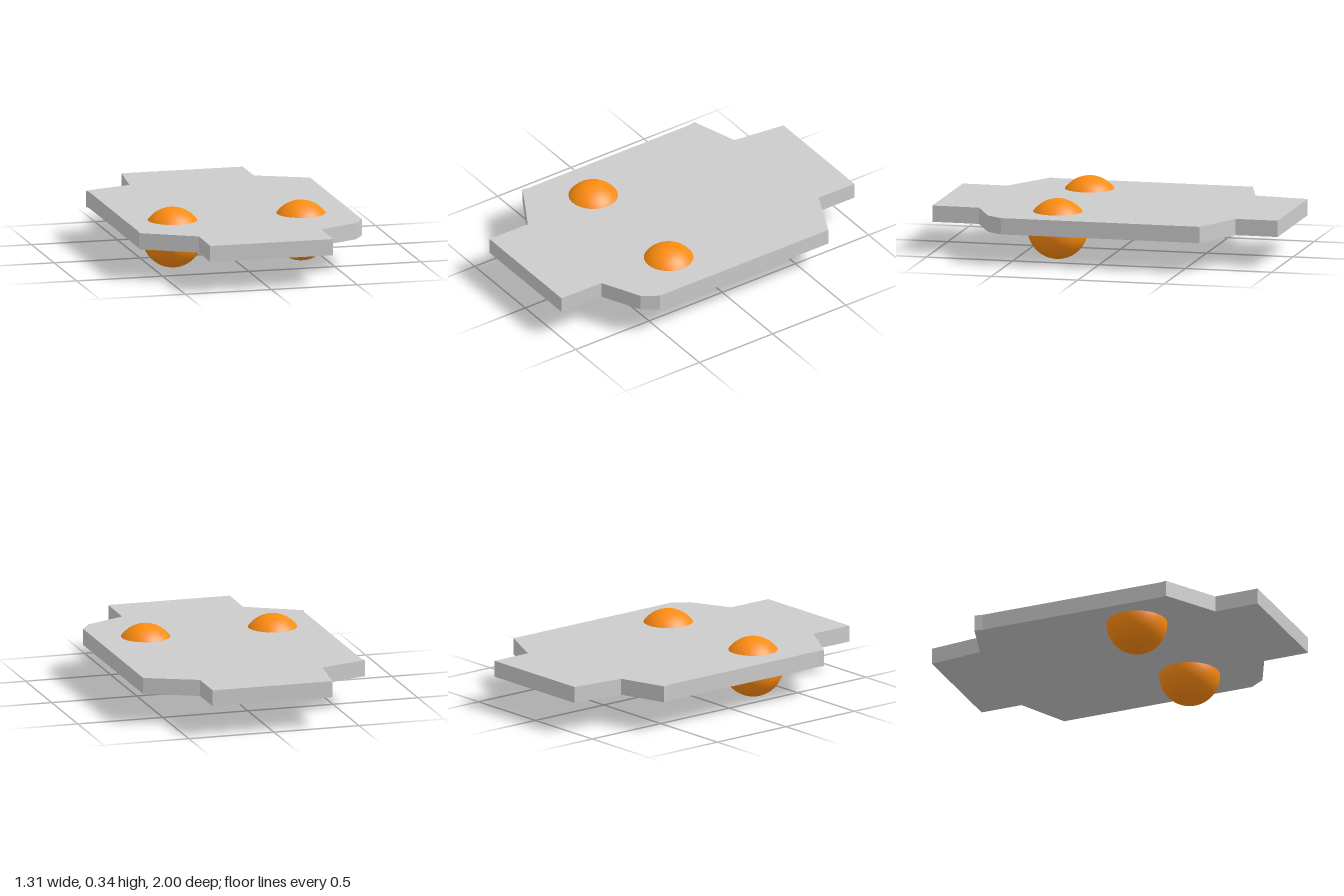
import * as THREE from 'three';

export function createModel() {
  const model = new THREE.Group();

  // Flat plate: outline as (x, z) corners, slightly uneven
  const outline = [
    [-0.355, 1], [0.36, 1], [0.362, 0.73], [0.592, 0.62], [0.652, 0.53],
    [0.652, -0.62], [0.36, -0.755], [0.36, -1], [-0.345, -1], [-0.38, -0.69],
    [-0.656, -0.605], [-0.647, -0.56], [-0.647, 0.53], [-0.654, 0.567], [-0.352, 0.74],
  ];
  const shape = new THREE.Shape(outline.map(([x, z]) => new THREE.Vector2(x, -z)));
  const plateGeometry = new THREE.ExtrudeGeometry(shape, { depth: 0.093, bevelEnabled: false });
  plateGeometry.rotateX(-Math.PI / 2);
  const plate = new THREE.Mesh(
    plateGeometry,
    new THREE.MeshStandardMaterial({ color: 0xcccccc }),
  );
  plate.name = 'plate';
  plate.position.y = 0.179;
  model.add(plate);

  // Two balls set through the front half of the plate
  const radius = 0.171;
  const ballGeometry = new THREE.SphereGeometry(radius, 48, 32);
  const ballMaterial = new THREE.MeshStandardMaterial({ color: 0xff8c10 });
  for (const [name, x] of [['rightBall', -0.383], ['leftBall', 0.364]]) {
    const ball = new THREE.Mesh(ballGeometry, ballMaterial);
    ball.name = name;
    ball.position.set(x, radius + 0.002, 0.272);
    model.add(ball);
  }

  return model;
}
